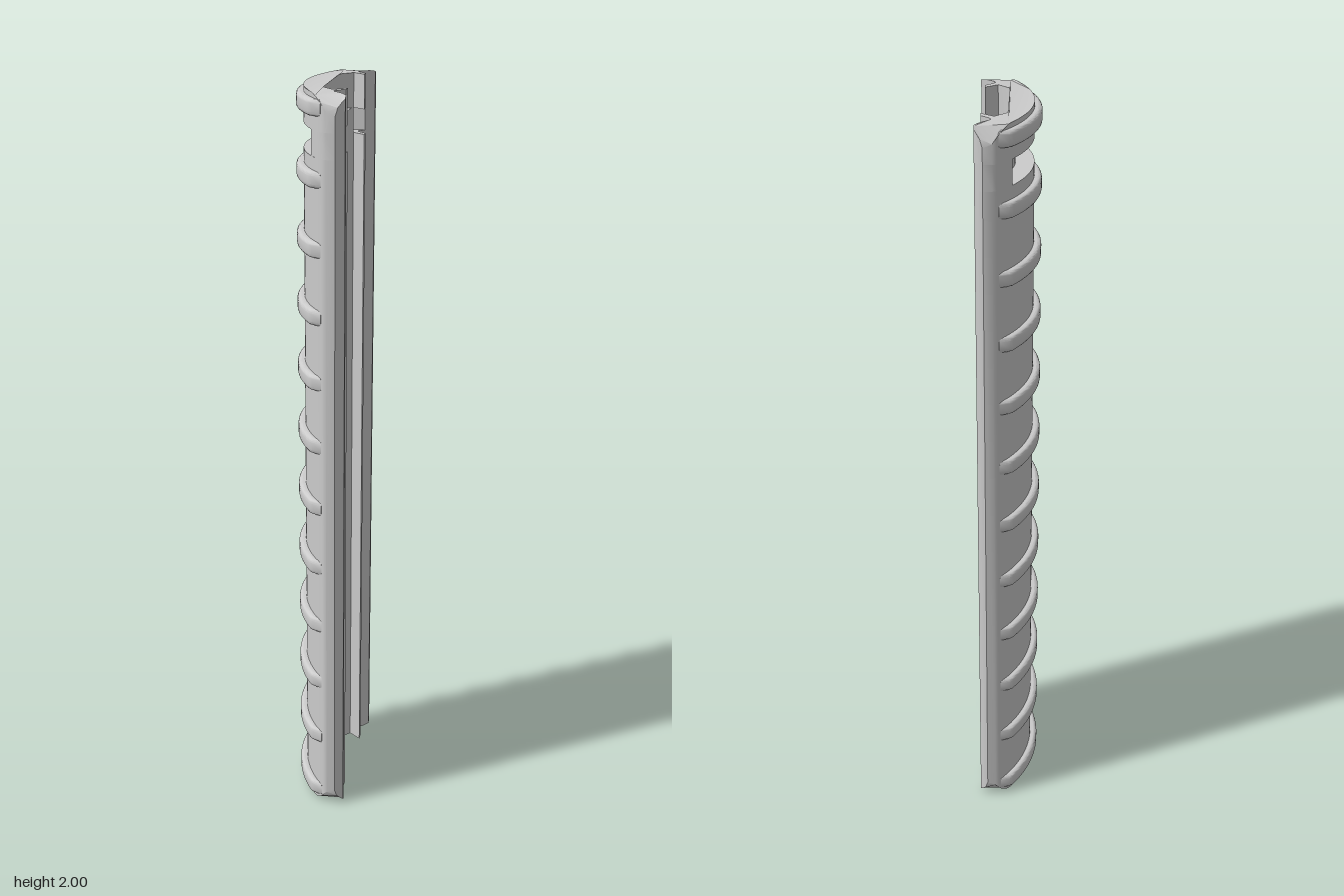
import * as THREE from 'three';
import { toCreasedNormals } from 'three/addons/utils/BufferGeometryUtils.js';

const HEIGHT = 2, CORNER = 0.05, HALF_WIDTH = 0.237;
const SLOT_LOW = 1.845, SLOT_HIGH = 1.91, SLOT_EDGE = 0.185;
const material = new THREE.MeshStandardMaterial({ color: 0xcccccc });

// points [x, z] on a circle bulging to -x, from z = z0 to z = z1
function arc(apex, radius, z0, z1, n) {
  return Array.from({ length: n + 1 }, (_, i) => {
    const z = z0 + (z1 - z0) * i / n;
    return [apex + radius - Math.sqrt(radius * radius - z * z), z];
  });
}

// split the segments near the side edges so the corners can be rounded
function refine(points) {
  const out = [];
  points.forEach((p, i) => {
    out.push(p);
    const q = points[i + 1];
    if (!q || Math.max(p[1], q[1]) < SLOT_EDGE) return;
    const n = Math.ceil(Math.abs(q[1] - p[1]) / 0.006);
    for (let k = 1; k < n; k++) out.push([p[0] + (q[0] - p[0]) * k / n, p[1] + (q[1] - p[1]) * k / n]);
  });
  return out;
}

const mirrored = (half) => [...half, ...half.map(([x, z]) => [x, -z]).reverse()];

// extrude an [x, z] outline upward, then round the corners of the side outline
function slab(name, outline, y0, y1, bevel = 0) {
  const shape = new THREE.Shape(outline.map(([x, z]) => new THREE.Vector2(x, -z)));
  const geometry = new THREE.ExtrudeGeometry(shape, {
    depth: y1 - y0 - 2 * bevel, bevelEnabled: bevel > 0, bevelThickness: bevel,
    bevelSize: bevel, bevelOffset: -bevel, bevelSegments: 4,
  });
  geometry.rotateX(-Math.PI / 2).translate(0, y0 + bevel, 0);
  const pos = geometry.attributes.position;
  for (let i = 0; i < pos.count; i++) {
    const over = Math.min(CORNER, Math.max(0, Math.abs(pos.getZ(i)) - (HALF_WIDTH - CORNER)));
    const drop = CORNER - Math.sqrt(CORNER * CORNER - over * over);
    pos.setY(i, Math.min(HEIGHT - drop, Math.max(drop, pos.getY(i))));
  }
  const mesh = new THREE.Mesh(toCreasedNormals(geometry, 0.55), material);
  mesh.name = name;
  return mesh;
}

export function createModel() {
  const group = new THREE.Group();
  group.name = 'railCover';

  // side lip, from the curved back round to the inner groove
  const lip = [
    [0.003, 0.21], [0.014, 0.222], [0.025, 0.231], [0.035, 0.236], [0.058, 0.237],
    [0.07, 0.228], [0.079, 0.217], [0.079, 0.205],
  ];
  // groove, clip tooth and flat inner wall
  const inside = [
    [0.056, 0.185], [0.045, 0.175], [0.041, 0.169], [0.041, 0.163], [0.045, 0.157],
    [0.066, 0.138], [0.066, 0.117], [0.033, 0.142], [0.005, 0.113], [0.002, 0.106],
  ];
  const half = refine([...arc(-0.062, 0.372, 0, 0.205, 16), ...lip, ...inside]);
  const profile = mirrored(half).slice(0, -1);

  // main body below and above the strap slot
  group.add(slab('body', profile, 0, SLOT_LOW));
  group.add(slab('topCap', profile, SLOT_HIGH, HEIGHT));

  // what remains at slot height: the inner wall and the two lips
  const core = [...arc(-0.015, 0.2556, 0, 0.142, 10), [0.033, 0.142], [0.005, 0.113], [0.002, 0.106]];
  group.add(slab('slotWall', mirrored(core).slice(0, -1), SLOT_LOW, SLOT_HIGH));
  const edge = [[-0.012, SLOT_EDGE], ...lip, [0.056, SLOT_EDGE]];
  group.add(slab('slotLipLeft', edge, SLOT_LOW, SLOT_HIGH));
  group.add(slab('slotLipRight', edge.map(([x, z]) => [x, -z]).reverse(), SLOT_LOW, SLOT_HIGH));

  // grip ribs across the curved back
  const ribHalf = [
    ...arc(-0.081, 0.374, 0, 0.212, 16), [-0.006, 0.218], [0.02, 0.228],
    [0.022, 0.215], ...arc(-0.035, 0.372, 0, 0.2, 12).reverse(),
  ];
  const rib = mirrored(ribHalf.slice(0, -1)).slice(0);
  for (let i = 0; i < 12; i++) {
    const y = 0.039 + i * 0.1752;
    group.add(slab('gripRib' + (i + 1), rib, y - 0.021, y + 0.021, 0.01));
  }
  return group;
}
